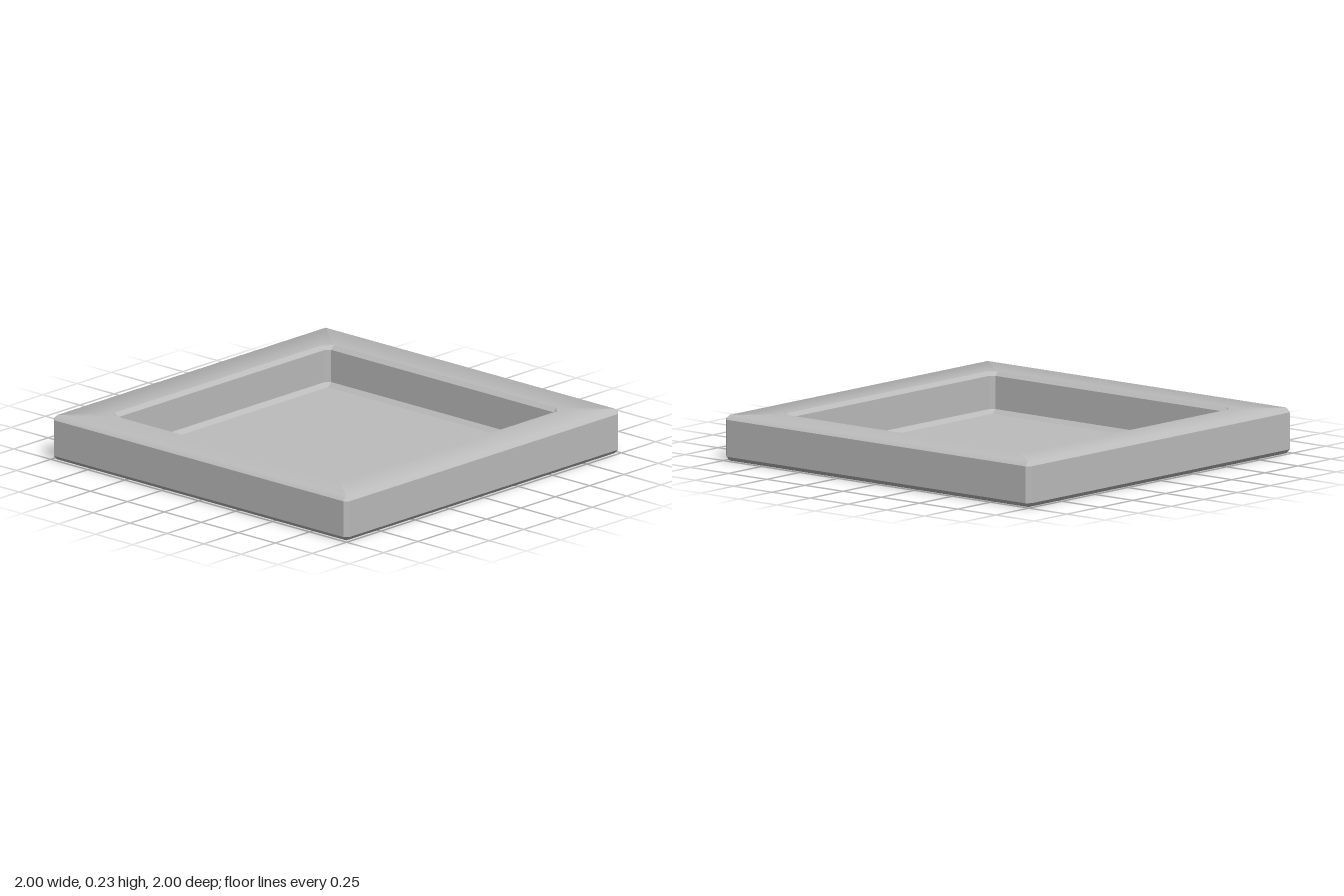
import * as THREE from 'three';

// Square loop of eight points with cut corners, starting on the +x side.
function ring([half, cut, y]) {
  const pts = [];
  let side = [[half, cut - half], [half, half - cut]];
  for (let i = 0; i < 4; i++) {
    side.forEach(([x, z]) => pts.push([x, y, z]));
    side = side.map(([x, z]) => [-z, x]);
  }
  return pts;
}

// Strip between two loops; t0 and t1 are the normals' tilts above outward, in degrees.
function strip(out, from, to, t0, t1) {
  const a = ring(from), b = ring(to);
  for (let k = 0; k < 8; k++) {
    const n = (k + 1) % 8, dir = k * Math.PI / 4;
    const normal = (t) => {
      const r = t * Math.PI / 180;
      return [Math.cos(r) * Math.cos(dir), Math.sin(r), Math.cos(r) * Math.sin(dir)];
    };
    out.pos.push(...a[k], ...b[k], ...b[n], ...a[k], ...b[n], ...a[n]);
    const n0 = normal(t0), n1 = normal(t1);
    out.nor.push(...n0, ...n1, ...n1, ...n0, ...n1, ...n0);
  }
}

function part(name, material, strips) {
  const out = { pos: [], nor: [] };
  strips.forEach((s) => strip(out, ...s));
  const geo = new THREE.BufferGeometry();
  geo.setAttribute('position', new THREE.Float32BufferAttribute(out.pos, 3));
  geo.setAttribute('normal', new THREE.Float32BufferAttribute(out.nor, 3));
  const mesh = new THREE.Mesh(geo, material);
  mesh.name = name;
  return mesh;
}

export function createModel() {
  const model = new THREE.Group();
  model.name = 'squareTray';
  const grey = new THREE.MeshStandardMaterial({ color: 0xbcbcbc });
  grey.name = 'plain grey';

  // Loops as [half width, corner cut, height], from underneath, over the rim, to the floor
  const underCentre = [0, 0, 0], underEdge = [0.978, 0, 0];
  const wallLow = [1, 0.022, 0.022], wallHigh = [1, 0.022, 0.208];
  const rimOuter = [0.978, 0, 0.23], rimInner = [0.795, 0.043, 0.23];
  const wellHigh = [0.775, 0.023, 0.21], wellLow = [0.775, 0.023, 0.043];
  const floorEdge = [0.752, 0, 0.022], floorCentre = [0, 0, 0.022];

  model.add(
    part('underside', grey, [
      [underCentre, underEdge, -90, -90],
      [underEdge, wallLow, -45, -45],
    ]),
    part('outerWall', grey, [[wallLow, wallHigh, 0, 0]]),
    // Rim top blends softly into its outer bevel
    part('rim', grey, [
      [wallHigh, rimOuter, 45, 67],
      [rimOuter, rimInner, 67, 90],
      [rimInner, wellHigh, 135, 135],
    ]),
    part('wellWall', grey, [
      [wellHigh, wellLow, 180, 180],
      [wellLow, floorEdge, 135, 135],
    ]),
    part('floor', grey, [[floorEdge, floorCentre, 90, 90]]),
  );
  return model;
}
